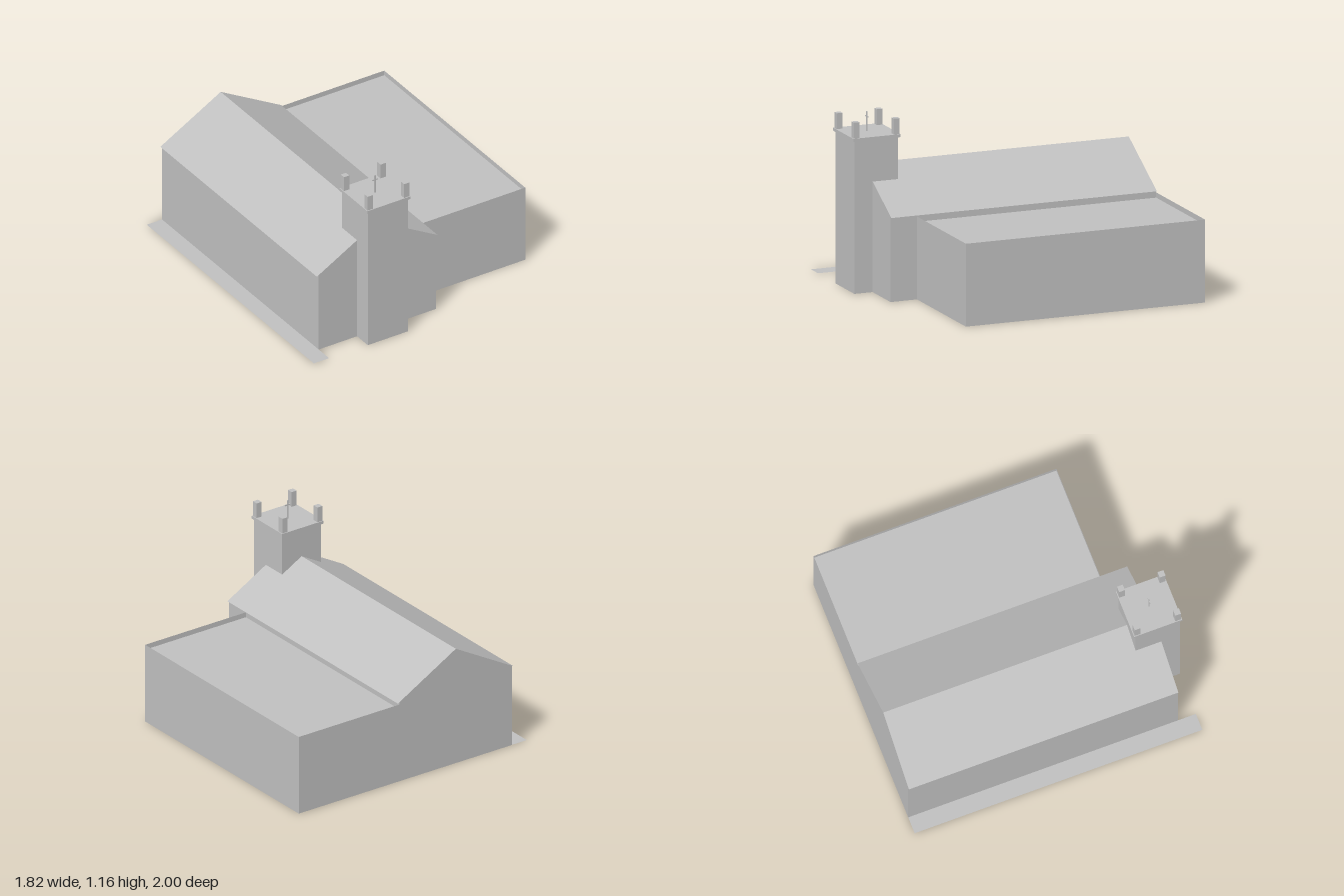
import * as THREE from 'three';

const stone = new THREE.MeshStandardMaterial({ color: 0xc0c0c0, side: THREE.DoubleSide });
stone.name = 'pale grey stone';

// Flat convex panel from its corners, counter-clockwise seen from outside
function panel(name, corners) {
  const index = [];
  for (let i = 1; i < corners.length - 1; i++) index.push(0, i, i + 1);
  const indexed = new THREE.BufferGeometry();
  indexed.setAttribute('position', new THREE.Float32BufferAttribute(corners.flat(), 3));
  indexed.setIndex(index);
  const geometry = indexed.toNonIndexed();
  geometry.computeVertexNormals();
  const mesh = new THREE.Mesh(geometry, stone);
  mesh.name = name;
  return mesh;
}

// Upright wall running from (xa, za) to (xb, zb), left to right seen from outside
function wall(name, xa, za, xb, zb, top) {
  return panel(name, [[xa, 0, za], [xb, 0, zb], [xb, top, zb], [xa, top, za]]);
}

// Level surface facing up
function deck(name, x0, x1, z0, z1, y) {
  return panel(name, [[x0, y, z1], [x1, y, z1], [x1, y, z0], [x0, y, z0]]);
}

// Solid block given by its limits
function block(name, x0, x1, y0, y1, z0, z1) {
  const mesh = new THREE.Mesh(new THREE.BoxGeometry(x1 - x0, y1 - y0, z1 - z0), stone);
  mesh.position.set((x0 + x1) / 2, (y0 + y1) / 2, (z0 + z1) / 2);
  mesh.name = name;
  return mesh;
}

function group(name, ...parts) {
  const g = new THREE.Group();
  g.name = name;
  g.add(...parts);
  return g;
}

const BACK = -1;
const CENTRE = -0.345; // shared axis of nave and tower

function createNave() {
  const half = 0.45, eaveHalf = 0.463, front = 0.86;
  const ridge = 0.82, eave = 0.56;
  const wallTop = ridge - (ridge - eave) * half / eaveHalf;
  const l = CENTRE - half, r = CENTRE + half;
  const el = CENTRE - eaveHalf, er = CENTRE + eaveHalf;
  return group('nave',
    panel('frontGable', [[l, 0, front], [r, 0, front], [r, wallTop, front], [CENTRE, ridge, front], [l, wallTop, front]]),
    panel('backGable', [[r, 0, BACK], [l, 0, BACK], [l, wallTop, BACK], [CENTRE, ridge, BACK], [r, wallTop, BACK]]),
    wall('leftNaveWall', r, front, r, BACK, wallTop),
    wall('rightNaveWall', l, BACK, l, front, wallTop),
    // Roof slopes overhang the side walls slightly
    panel('leftRoofSlope', [[er, eave, front], [er, eave, BACK], [CENTRE, ridge, BACK], [CENTRE, ridge, front]]),
    panel('rightRoofSlope', [[el, eave, BACK], [el, eave, front], [CENTRE, ridge, front], [CENTRE, ridge, BACK]]));
}

// Flat-roofed hall whose walls rise above the roof as a parapet
function createHall() {
  const x0 = 0.105, x1 = 0.91, front = 0.675, top = 0.55, roof = 0.515;
  return group('sideHall',
    wall('hallFrontWall', x0, front, x1, front, top),
    wall('hallLeftWall', x1, front, x1, BACK, top),
    wall('hallBackWall', x1, BACK, x0, BACK, top),
    deck('hallFlatRoof', x0, x1, BACK, front, roof));
}

function createTower() {
  const l = -0.5, r = -0.19, back = 0.682, front = 0.988;
  const top = 1.012, capTop = 1.032, mid = 0.834;
  const tower = group('tower',
    wall('towerFrontWall', l, front, r, front, top),
    wall('towerLeftWall', r, front, r, back, top),
    wall('towerBackWall', r, back, l, back, top),
    wall('towerRightWall', l, back, l, front, top),
    block('towerCap', -0.511, -0.179, top, capTop, 0.668, 1.0));
  // Corner pinnacles
  for (const sx of [-1, 1]) for (const sz of [-1, 1]) {
    const x = CENTRE + sx * 0.14, z = mid + sz * 0.14;
    tower.add(block('pinnacle', x - 0.02, x + 0.02, capTop, 1.137, z - 0.02, z + 0.02));
  }
  // Cross on the cap
  tower.add(group('cross',
    block('crossPost', CENTRE - 0.005, CENTRE + 0.005, capTop, 1.162, mid - 0.003, mid + 0.003),
    block('crossArm', CENTRE - 0.022, CENTRE + 0.022, 1.125, 1.133, mid - 0.003, mid + 0.003)));
  return tower;
}

export function createModel() {
  return group('church',
    createNave(),
    createHall(),
    createTower(),
    deck('sidePath', -0.912, -0.795, BACK, 0.985, 0.001));
}
